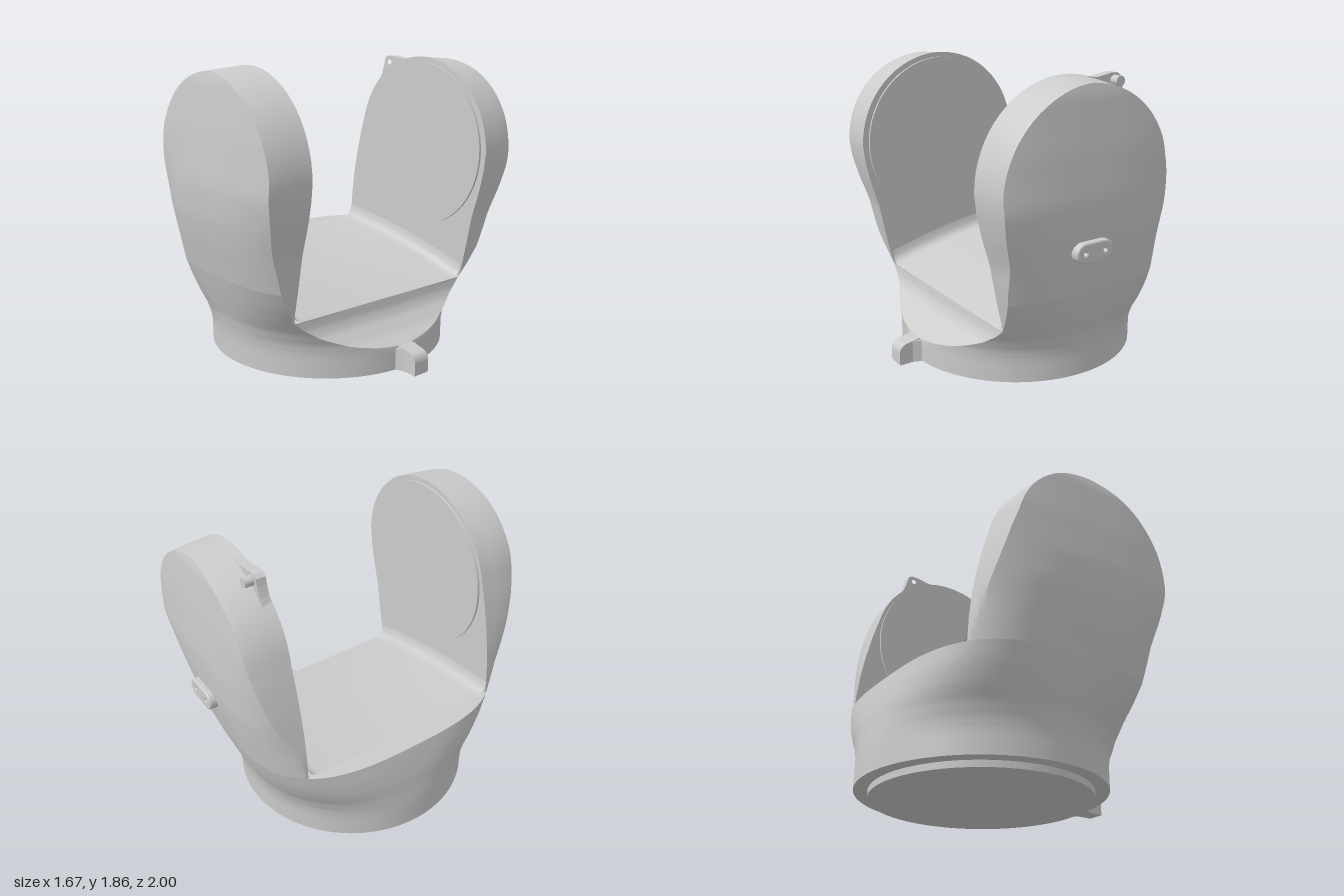
import * as THREE from 'three';
import { toCreasedNormals } from 'three/addons/utils/BufferGeometryUtils.js';

const WALL = 0.69;                       // inner face of each arm
const PIVOT = { x: 0.083, y: 1.272, r: 0.588 };
const { clamp, smoothstep } = THREE.MathUtils;

// Outer body sections: y, centre x, left radius, right radius, z radius, squareness
const SECTIONS = [
  [0.04, -0.075, 0.765, 0.765, 0.765, 2],
  [0.19, -0.075, 0.76, 0.765, 0.77, 2],
  [0.25, -0.075, 0.755, 0.765, 0.778, 2.05],
  [0.33, -0.075, 0.745, 0.777, 0.795, 2.22],
  [0.42, -0.075, 0.735, 0.815, 0.828, 2.5],
  [0.52, -0.075, 0.718, 0.87, 0.862, 2.77],
  [0.63, -0.075, 0.695, 0.93, 0.895, 3],
  [0.85, -0.05, 0.72, 1.0, 0.945, 3],
  [1.0, -0.03, 0.77, 1.1, 0.97, 3],
  [1.2, 0.05, 0.95, 1.2, 0.985, 3],
  [1.5, 0.07, 1.2, 1.2, 0.975, 3],
  [1.8, 0.08, 1.2, 1.2, 0.953, 3],
  [1.86, 0.08, 1.2, 1.2, 0.94, 3],
];
// Side cuts that trim the body
const RIGHT = [[0.19, 0.69], [0.24, 0.6], [0.31, 0.52], [0.36, 0.495], [0.42, 0.485], [0.62, 0.53],
  [0.85, 0.575], [1.03, 0.63], [1.17, 0.66], [1.272, 0.671]];
const LEFT = [[0.63, -0.635], [0.8, -0.625], [0.95, -0.605], [1.1, -0.575], [1.3, -0.525], [1.4, -0.491]];

function lookup(table, y) {
  let i = 0;
  while (i < table.length - 2 && y > table[i + 1][0]) i++;
  const [a, b] = [table[i], table[i + 1]];
  const t = clamp((y - a[0]) / (b[0] - a[0]), 0, 1);
  return a.slice(1).map((v, k) => v + (b[k + 1] - v) * t);
}
const arc = (y) => Math.sqrt(Math.max(0, PIVOT.r ** 2 - (y - PIVOT.y) ** 2));
const rightX = (y) => (y > PIVOT.y ? PIVOT.x + arc(y) : lookup(RIGHT, y)[0]);
const leftX = (y) => (y > 1.4 ? PIVOT.x - arc(y) : lookup(LEFT, y)[0]);

const spread = (a, b, n, f = (t) => t) =>
  Array.from({ length: n + 1 }, (_, i) => a + (b - a) * f(i / n));
const quarter = (t) => Math.sin(t * Math.PI / 2);

// Surface through rows of points
function grid(rows, flip = false) {
  const n = rows[0].length;
  const index = [];
  for (let i = 0; i < rows.length - 1; i++) {
    for (let j = 0; j < n - 1; j++) {
      const a = i * n + j, b = a + 1, c = a + n, d = c + 1;
      index.push(...(flip ? [a, d, c, a, b, d] : [a, c, d, a, d, b]));
    }
  }
  const g = new THREE.BufferGeometry();
  g.setAttribute('position', new THREE.Float32BufferAttribute(rows.flat(2), 3));
  g.setIndex(index);
  return toCreasedNormals(g, 0.65);
}

// One half-section of the body at height y, from its right cut round to its left cut
function sectionRow(y, rightStart, leftEnd, side) {
  const [cx, aL, aR, depth, n] = lookup(SECTIONS, y);
  const b = depth * (1 + (side > 0 ? 0.014 : -0.005) * smoothstep(y, 0.42, 1.2));
  const xr = y < 0.19 ? cx + aR : rightX(y);
  const xl = leftEnd === 0 ? cx - aL : leftX(y);
  const bevel = Math.min(0.02 * smoothstep(y, 0.63, 0.95), (xr - xl) / 2);
  const angle = (k) => Math.acos(clamp(k, 0, 1) ** (n / 2));
  const t0 = angle((xr - bevel - cx) / aR);
  const t1 = Math.PI - angle((cx - xl - bevel) / aL);
  const curve = spread(0, Math.PI, 64).map((fixed) => {
    const t = clamp(fixed, t0, t1), c = Math.cos(t);
    return [cx + (c > 0 ? aR : -aL) * Math.abs(c) ** (2 / n), y, b * Math.max(0, Math.sin(t)) ** (2 / n)];
  });
  const rim = (x, inward, start, z1) => {
    const z0 = Math.min(start, z1), z2 = Math.max(z0, z1 - bevel * 2.5);
    return [[x, y, z0], [x + inward * bevel * 0.25, y, (z0 + z2) / 2], [x + inward * bevel * 0.5, y, z2]];
  };
  const row = [...rim(xr, -1, rightStart, curve[0][2]), ...curve,
    ...rim(xl, 1, leftEnd, curve[64][2]).reverse()];
  // the domed top drops slightly towards the outside
  const dome = 0.08 * Math.max(0, (y - PIVOT.y) / PIVOT.r);
  return row.map(([x, yy, z]) => [x, yy - dome * Math.max(0, z - WALL), z * side]);
}

function baseHalf(side) {
  const rows = (ys, rightStart) => ys.map((y) => sectionRow(y, rightStart, 0, side));
  return grid([
    ...rows(spread(0.04, 0.19, 3), 0),              // collar
    ...rows(spread(0.19, 0.42, 14).slice(1), 0),    // flared front cut
    ...rows(spread(0.42, 0.63, 6), WALL),           // beside the cradle
  ], side < 0);
}
const CAP = spread(PIVOT.y, PIVOT.y + PIVOT.r, 16, quarter).slice(1);
function armShell(side) {
  const ys = [...spread(0.63, PIVOT.y, 12), ...CAP];
  return grid(ys.map((y) => sectionRow(y, WALL, WALL, side)), side < 0);
}

// Cradle floor: a gently crowned ramp falling to the right
const FLOOR = new THREE.SplineCurve([[-0.635, 0.63], [-0.3, 0.59], [0, 0.54], [0.25, 0.485], [0.485, 0.42]]
  .map(([x, y]) => new THREE.Vector2(x, y))).getPoints(20);

// Flat lip between the floor and the curved edge of the body
function lipGeometry() {
  const [cx, aL, , b, n] = lookup(SECTIONS, 0.63);
  const zs = spread(-0.7, 0.7, 32);
  const edge = zs.map((z) => [Math.min(-0.63, cx - aL * (1 - (Math.abs(z) / b) ** n) ** (1 / n)), 0.63, z]);
  return grid([edge, zs.map((z) => [FLOOR[0].x, 0.63, z])], true);
}

function extrude(shape, depth, bevel = 0) {
  return new THREE.ExtrudeGeometry(shape, {
    depth, curveSegments: 10, bevelEnabled: bevel > 0, bevelSize: bevel, bevelThickness: bevel, bevelSegments: 2,
  });
}
const polygon = (pts) => new THREE.Shape(pts.map(([x, y]) => new THREE.Vector2(x, y)));
function hole(shape, x, y, r) {
  shape.holes.push(new THREE.Path().absarc(x, y, r, 0, Math.PI * 2, true));
}

export function createModel() {
  const group = new THREE.Group();
  const solid = new THREE.MeshStandardMaterial({ color: 0xcccccc });
  const thin = new THREE.MeshStandardMaterial({ color: 0xcccccc, side: THREE.DoubleSide });
  const add = (name, geometry, material = solid, x = 0, y = 0, z = 0) => {
    const mesh = new THREE.Mesh(geometry, material);
    mesh.name = name;
    mesh.position.set(x, y, z);
    group.add(mesh);
  };

  // Base
  add('baseDisc', new THREE.CylinderGeometry(0.68, 0.68, 0.05, 64), solid, -0.075, 0.025, 0);
  add('baseUnderside', new THREE.CircleGeometry(0.765, 72).rotateX(Math.PI / 2), solid, -0.075, 0.04, 0);

  // Body halves, fork arms, inner walls and round pads
  const wallYs = spread(0.42, PIVOT.y, 16);
  const wall = polygon([
    ...FLOOR.map((p) => [p.x, p.y]),
    ...[...wallYs.slice(1), ...CAP].map((y) => [rightX(y), y]),
    ...[...wallYs.filter((y) => y > 0.65), ...CAP.slice(0, -1)].reverse().map((y) => [leftX(y), y]),
  ]);
  for (const side of [1, -1]) {
    const label = side > 0 ? 'front' : 'back';
    add(label + 'Base', baseHalf(side), thin);
    add(label + 'Arm', armShell(side), thin);
    add(label + 'ArmInnerWall', new THREE.ShapeGeometry(wall), thin, 0, 0, side * WALL);
    add(label + 'ArmPad', new THREE.CylinderGeometry(0.555, 0.555, 0.03, 64).rotateX(Math.PI / 2),
      solid, 0.075, 1.275, side * 0.69);
  }

  // Cradle floor with filleted sides, and its lip
  const fillet = [[0.69, 0.09], [0.683, 0.05], [0.668, 0.02], [0.645, 0.005], [0.615, 0]];
  const across = [...fillet, ...fillet.map(([z, lift]) => [-z, lift]).reverse()];
  add('cradleFloor', grid(FLOOR.map((p) => across.map(([z, lift]) => [p.x, p.y + lift, z]))), thin);
  add('cradleLip', lipGeometry(), thin);

  // Locking tab on the base, with a flared root
  const tab = new THREE.Shape();
  tab.moveTo(0.55, 0.04);
  tab.lineTo(0.83, 0.04);
  tab.lineTo(0.83, 0.12);
  tab.quadraticCurveTo(0.825, 0.165, 0.78, 0.175);
  tab.lineTo(0.69, 0.19);
  tab.lineTo(0.55, 0.25);
  add('baseTab', extrude(tab, 0.11), solid, 0, 0, -0.055);
  const root = polygon([[0.6, -0.13], [0.67, -0.1], [0.69, -0.075], [0.74, -0.055],
    [0.74, 0.055], [0.69, 0.075], [0.67, 0.1], [0.6, 0.13]]);
  add('baseTabRoot', extrude(root, 0.14).rotateX(-Math.PI / 2), solid, 0, 0.04, 0);

  // Pin ear on the back arm
  const ear = polygon([[-0.34, 1.66], [-0.305, 1.73], [-0.285, 1.79], [-0.275, 1.835], [-0.25, 1.852],
    [-0.21, 1.853], [-0.1, 1.835], [-0.03, 1.845], [-0.1, 1.75]]);
  hole(ear, -0.23, 1.81, 0.018);
  add('pinEar', extrude(ear, 0.06), solid, 0, 0, -0.75);
  add('pin', new THREE.CylinderGeometry(0.03, 0.03, 0.06, 16).rotateX(Math.PI / 2), solid, -0.23, 1.81, -0.775);

  // Fixing plate on the back arm
  const plate = new THREE.Shape();
  plate.absarc(0.07, 0, 0.05, -Math.PI / 2, Math.PI / 2, false);
  plate.absarc(-0.07, 0, 0.05, Math.PI / 2, Math.PI * 1.5, false);
  for (const x of [-0.07, 0.07]) hole(plate, x, 0, 0.02);
  add('fixingPlate', extrude(plate, 0.05, 0.01), solid, 0.08, 0.92, -0.99);

  return group;
}
